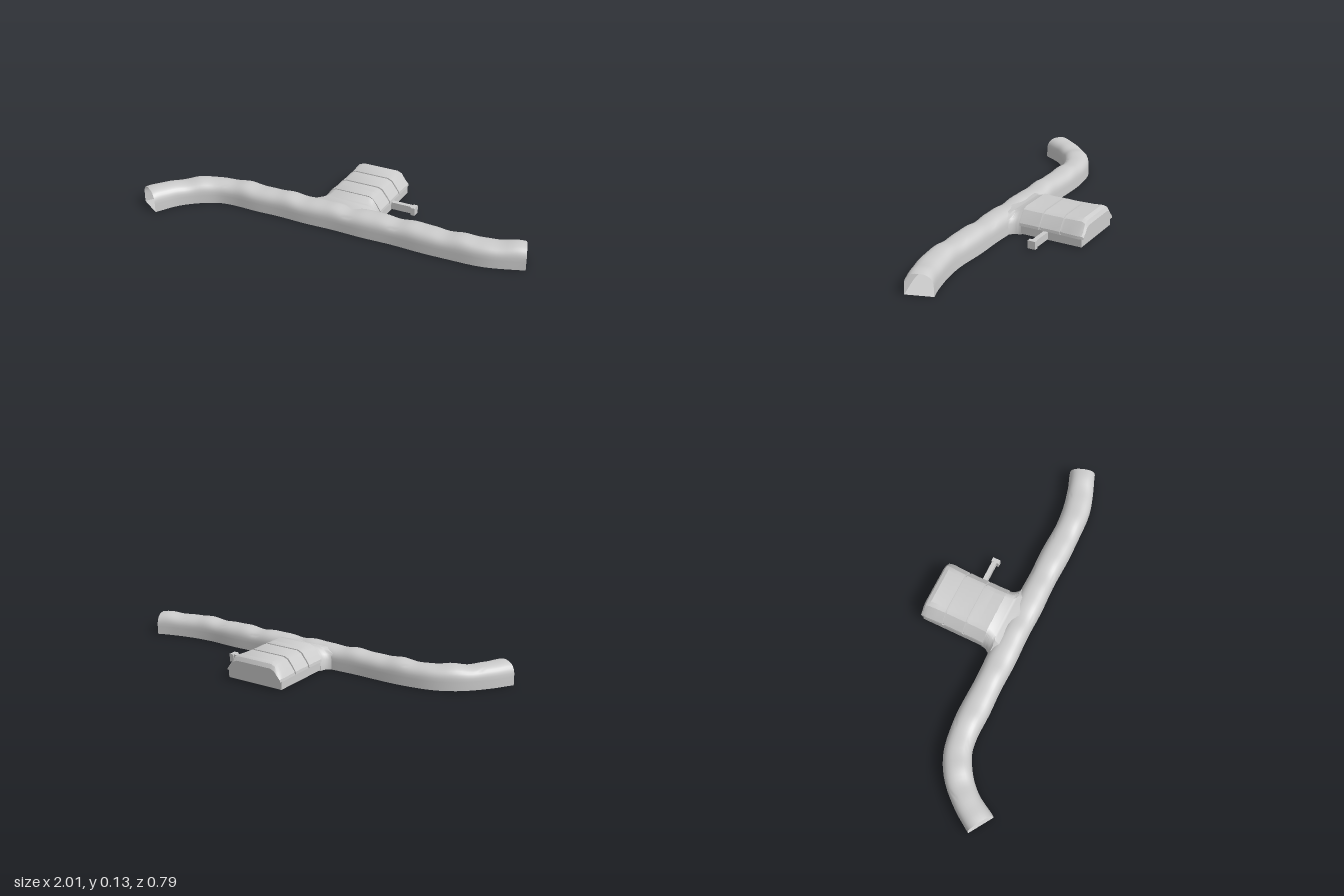
import * as THREE from 'three';
import { toCreasedNormals } from 'three/addons/utils/BufferGeometryUtils.js';

const material = new THREE.MeshStandardMaterial({ color: 0xcccccc, side: THREE.DoubleSide });

// Skin closed rings of Vector3 into one surface, optionally capping both ends
function loft(name, rings, caps, crease = 0.6) {
  const n = rings[0].length, pos = [], index = [];
  rings.forEach(r => r.forEach(p => pos.push(p.x, p.y, p.z)));
  for (let i = 0; i < rings.length - 1; i++) {
    for (let j = 0; j < n; j++) {
      const a = i * n + j, b = i * n + (j + 1) % n;
      index.push(a, b, a + n, b, b + n, a + n);
    }
  }
  if (caps) {
    const last = (rings.length - 1) * n;
    for (let j = 1; j < n - 1; j++) {
      index.push(0, j + 1, j, last, last + j, last + j + 1);
    }
  }
  const g = new THREE.BufferGeometry();
  g.setAttribute('position', new THREE.Float32BufferAttribute(pos, 3));
  g.setIndex(index);
  const mesh = new THREE.Mesh(toCreasedNormals(g, crease), material);
  mesh.name = name;
  return mesh;
}

function box(name, x0, x1, y0, y1, z0, z1) {
  const mesh = new THREE.Mesh(new THREE.BoxGeometry(x1 - x0, y1 - y0, z1 - z0), material);
  mesh.name = name;
  mesh.position.set((x0 + x1) / 2, (y0 + y1) / 2, (z0 + z1) / 2);
  return mesh;
}

// Winding tunnel: flat floor, upright sides, rounded crown, open ends
function tunnel() {
  const path = new THREE.CatmullRomCurve3([
    [-0.95, 0.35], [-0.88, 0.24], [-0.79, 0.15], [-0.69, 0.094], [-0.58, 0.073], [-0.4, 0.071],
    [0, 0.07], [0.4, 0.07], [0.65, 0.073], [0.78, 0.062], [0.88, 0.037], [0.976, 0.004],
  ].map(([x, z]) => new THREE.Vector3(x, 0, z)));
  const rings = [], steps = 90, arc = 16;
  for (let i = 0; i <= steps; i++) {
    const u = i / steps, p = path.getPointAt(u), t = path.getTangentAt(u);
    const side = new THREE.Vector3(-t.z, 0, t.x);
    const top = 0.108 + 0.004 * Math.sin(u * 53) + 0.002 * Math.sin(u * 97 + 1);
    const half = 0.07 + 0.002 * Math.sin(u * 41 + 2);
    const ring = [];
    const add = (w, y) => ring.push(p.clone().addScaledVector(side, w).setY(y));
    add(-half, 0.002);
    for (let k = 0; k <= arc; k++) {
      const a = Math.PI * (1 - k / arc), c = Math.cos(a);
      add(half * 0.99 * Math.sign(c) * Math.abs(c) ** 0.8, 0.045 + (top - 0.045) * Math.sin(a) ** 0.8);
    }
    add(half, 0.002);
    rings.push(ring);
  }
  return loft('tunnel', rings, false, 0.8);
}

// Chamfered section across x, centred on the side building
const cx = 0.03;
function section(z, half, shoulder, base, eave, top) {
  const right = [[half, base], [half - 0.002, eave], [half - 0.02, eave + (top - eave) * 0.4],
    [shoulder + 0.012, top - 0.01], [shoulder - 0.012, top]];
  const left = right.map(([x, y]) => [-x, y]).reverse();
  return [...right, ...left].map(([x, y]) => new THREE.Vector3(cx + x, y, z));
}

export function createModel() {
  const group = new THREE.Group();
  group.add(tunnel());

  // Flared neck joining the building to the tunnel
  const neck = [];
  for (let i = 0; i <= 8; i++) {
    const s = i / 8, flare = 1 - Math.sqrt(1 - s * s);
    neck.push(section(-0.055 + 0.065 * s, 0.16 + 0.07 * flare, 0.105 + 0.04 * flare,
      0.003, 0.055, 0.132 - 0.026 * s));
  }
  neck.push(section(0.06, 0.23, 0.16, 0.003, 0.05, 0.102));
  group.add(loft('neck', neck, true));

  // Building base
  group.add(box('base', cx - 0.158, cx + 0.158, 0.008, 0.052, -0.39, -0.045));

  // Ribbed roof: three bays with narrow grooves and a sloped back end
  const roof = [];
  const add = (z, d) => roof.push(section(z, 0.161 - d, 0.105 - d, 0.05, 0.064, 0.133 - d));
  roof.push(section(-0.401, 0.159, 0.112, 0.05, 0.06, 0.108));
  roof.push(section(-0.39, 0.161, 0.11, 0.05, 0.064, 0.128));
  add(-0.37, -0.003);
  add(-0.32, 0);
  for (const z of [-0.275, -0.16]) {
    add(z - 0.005, 0.001);
    add(z - 0.004, 0.007);
    add(z + 0.004, 0.007);
    add(z + 0.005, 0.001);
    add(z + 0.055, 0.002);
  }
  add(-0.048, 0);
  group.add(loft('roof', roof, true, 0.4));

  // Side lever with a hooked end
  const lever = new THREE.Group();
  lever.name = 'lever';
  lever.add(box('leverArm', 0.18, 0.322, 0.012, 0.05, -0.207, -0.183));
  lever.add(box('leverHook', 0.302, 0.325, 0.01, 0.051, -0.212, -0.17));
  group.add(lever);

  return group;
}
